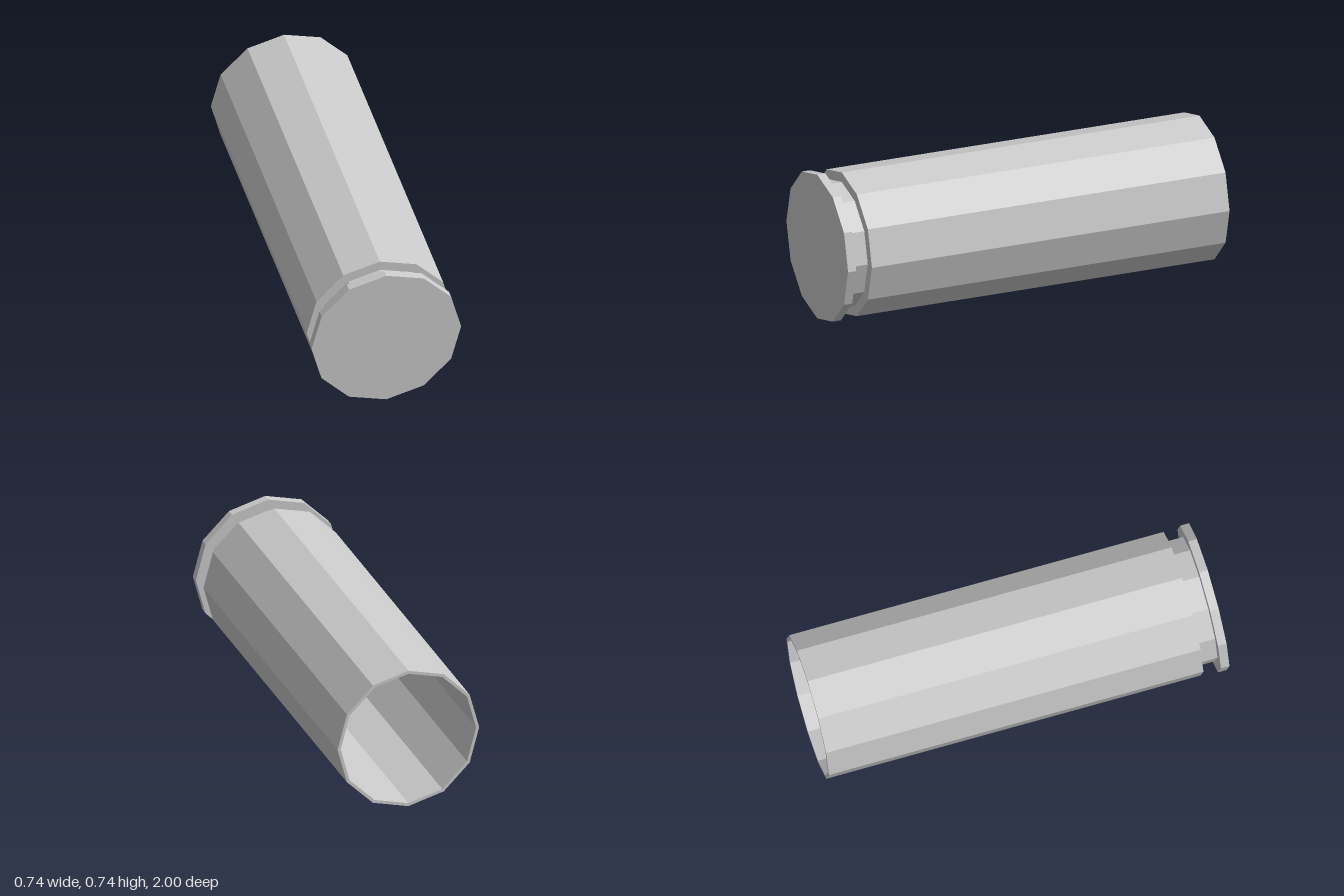
import * as THREE from 'three';

const SIDES = 12;
const RIM_RADIUS = 0.37;

// Faceted solid of revolution along z, from [radius, z] pairs
function turned(name, profile, material) {
  const points = profile.map(([r, z]) => new THREE.Vector2(r, z));
  const geometry = new THREE.LatheGeometry(points, SIDES).toNonIndexed();
  geometry.rotateX(Math.PI / 2);
  geometry.computeVertexNormals();
  const mesh = new THREE.Mesh(geometry, material);
  mesh.name = name;
  return mesh;
}

export function createModel() {
  const model = new THREE.Group();
  model.name = 'casing';
  const material = new THREE.MeshStandardMaterial({ color: 0xcccccc, flatShading: true });

  // Hollow tube, open at the back, with its shoulder at the front
  const body = turned('body', [
    [0, 0.86], [0.346, 0.86], [0.346, -1], [0.362, -1], [0.362, 0.872], [0.313, 0.872],
  ], material);

  // Recessed groove between the body and the rim
  const groove = turned('extractorGroove', [[0.313, 0.872], [0.313, 0.957]], material);

  // Flat closed rim at the front
  const rim = turned('rim', [
    [0.313, 0.957], [RIM_RADIUS, 0.957], [RIM_RADIUS, 1], [0, 1],
  ], material);

  model.add(body, groove, rim);
  for (const part of model.children) part.position.y = RIM_RADIUS;
  return model;
}
